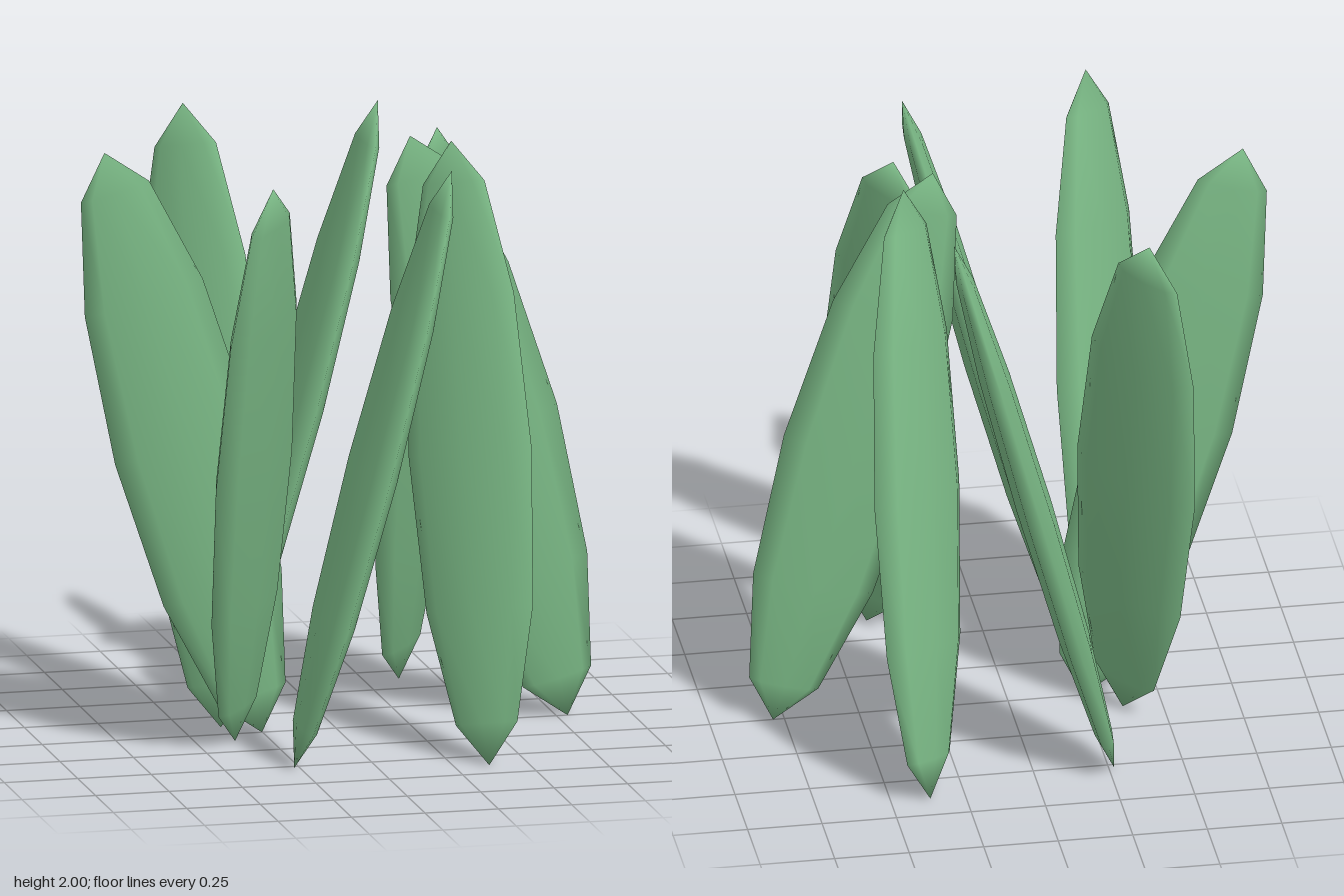
import * as THREE from 'three';

const COUNT = 8;
const RING_RADIUS = 0.52;
const LEAN = 0.262; // about 15 degrees

export function createModel() {
  const model = new THREE.Group();
  model.name = 'leafRing';

  const leafGreen = new THREE.MeshStandardMaterial({ color: 0x7ab885 });
  leafGreen.name = 'leaf green';

  // One flattened low-poly leaf: broad in x, thin in z, long in y
  const leafGeometry = new THREE.SphereGeometry(1, 8, 6);
  leafGeometry.scale(0.24, 1.035, 0.06);

  const up = new THREE.Vector3(0, 1, 0);

  // Leaves stand radially on a ring; the lean direction turns twice per lap
  for (let i = 0; i < COUNT; i++) {
    const angle = (i / COUNT) * Math.PI * 2;
    const leanAngle = Math.PI + 2 * angle;
    const axis = new THREE.Vector3(
      Math.sin(LEAN) * Math.cos(leanAngle),
      Math.cos(LEAN),
      Math.sin(LEAN) * Math.sin(leanAngle)
    );
    const turn = new THREE.Quaternion().setFromAxisAngle(up, -angle);

    const leaf = new THREE.Mesh(leafGeometry, leafGreen);
    leaf.name = `leaf${i + 1}`;
    leaf.quaternion.setFromUnitVectors(up, axis).multiply(turn);
    leaf.position.set(RING_RADIUS * Math.cos(angle), 1, RING_RADIUS * Math.sin(angle));
    model.add(leaf);
  }

  return model;
}
